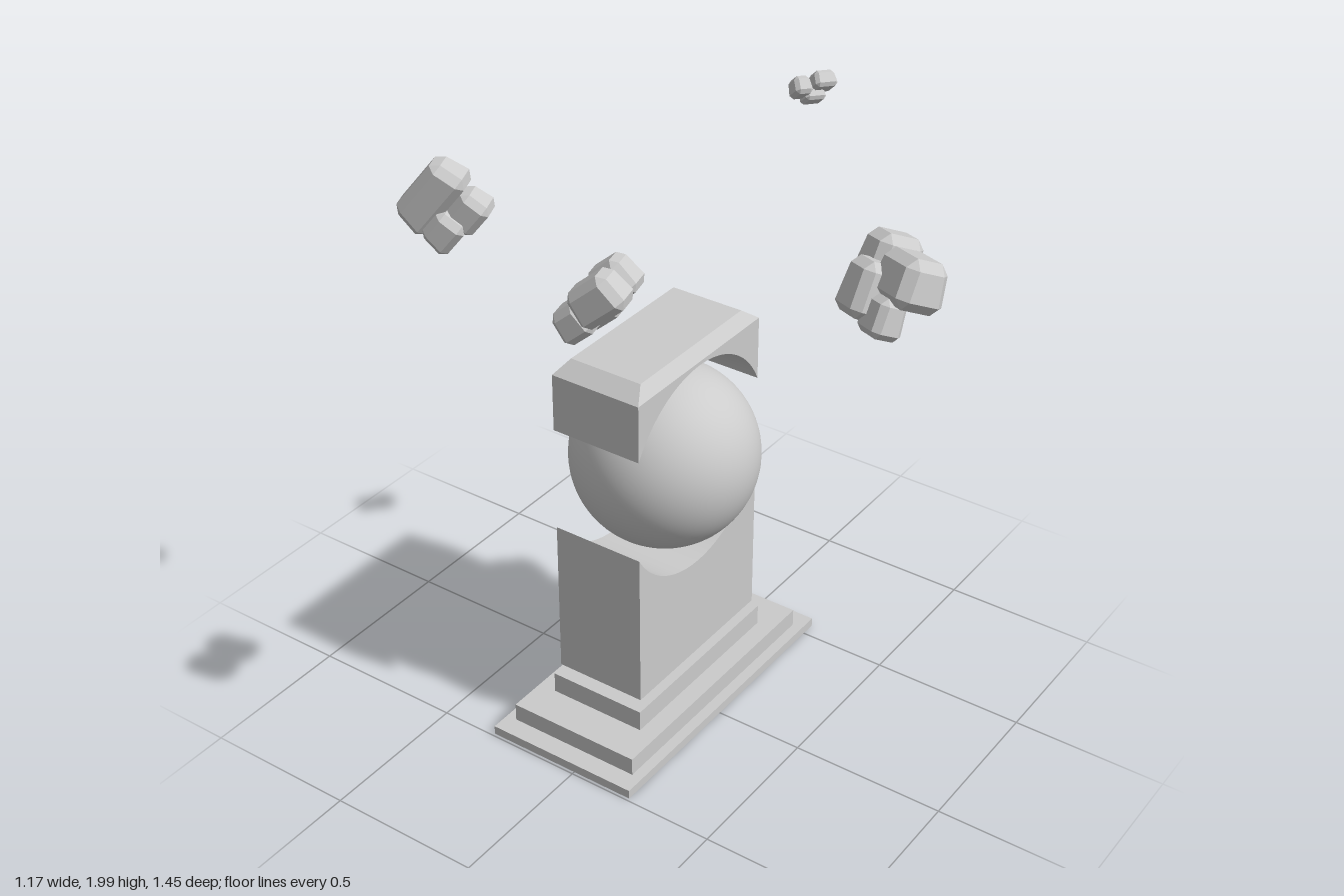
import * as THREE from 'three';
import { toCreasedNormals } from 'three/addons/utils/BufferGeometryUtils.js';
import { ConvexGeometry } from 'three/addons/geometries/ConvexGeometry.js';

const V = (x, y, z) => new THREE.Vector3(x, y, z);
const material = new THREE.MeshStandardMaterial({ color: 0xcccccc });

function add(parent, name, geometry, x = 0, y = 0, z = 0) {
  const mesh = new THREE.Mesh(geometry, material);
  mesh.name = name;
  mesh.position.set(x, y, z);
  parent.add(mesh);
  return mesh;
}

// Convex block with every edge chamfered and the top slightly narrower
function chippedBlock(w, h, d) {
  const b = Math.min(w, h, d) * 0.2;
  const points = [];
  for (const sx of [-1, 1]) for (const sy of [-1, 1]) for (const sz of [-1, 1]) {
    const t = sy > 0 ? 0.9 : 1;
    const x = w / 2 * t, y = h / 2, z = d / 2 * t;
    points.push(
      V(sx * x, sy * (y - b), sz * (z - b)),
      V(sx * (x - b), sy * y, sz * (z - b)),
      V(sx * (x - b), sy * (y - b), sz * z));
  }
  return new ConvexGeometry(points);
}

// Each rock: shared tilt [pitch, yaw, roll] and chunks [x, y, z, w, h, d]
const rocks = [
  { name: 'rightFloatingRock', tilt: [-0.7, 0.25, 0], chunks: [
    [-0.525, 1.735, 0.155, 0.11, 0.115, 0.16],
    [-0.42, 1.735, 0.13, 0.10, 0.11, 0.13],
    [-0.53, 1.65, 0.085, 0.11, 0.10, 0.11],
    [-0.43, 1.655, 0.085, 0.11, 0.11, 0.12]] },
  { name: 'backFloatingRock', tilt: [-0.9, 0.4, 0], chunks: [
    [-0.28, 1.71, -0.62, 0.12, 0.12, 0.24],
    [-0.235, 1.67, -0.52, 0.11, 0.10, 0.12],
    [-0.28, 1.615, -0.575, 0.12, 0.10, 0.12]] },
  { name: 'frontFloatingRock', tilt: [-0.15, -0.52, -0.4], chunks: [
    [0.32, 1.55, 0.615, 0.16, 0.15, 0.20],
    [0.41, 1.54, 0.495, 0.17, 0.16, 0.14],
    [0.29, 1.50, 0.495, 0.13, 0.17, 0.14],
    [0.245, 1.455, 0.575, 0.10, 0.12, 0.12],
    [0.33, 1.445, 0.50, 0.14, 0.13, 0.14]] },
  { name: 'leftFloatingRock', tilt: [-0.7, -0.5, -0.1], chunks: [
    [0.545, 1.96, 0.165, 0.07, 0.05, 0.07],
    [0.49, 1.95, 0.125, 0.055, 0.055, 0.07],
    [0.525, 1.92, 0.145, 0.065, 0.045, 0.06]] },
];

export function createModel() {
  const model = new THREE.Group();
  const CX = 0.03, CZ = -0.052;

  // Stepped base: width, depth, bottom, top
  const steps = [
    [1.04, 0.52, 0, 0.03], [0.91, 0.45, 0.03, 0.09],
    [0.66, 0.33, 0.09, 0.16], [0.56, 0.26, 0.16, 0.19]];
  steps.forEach(([w, d, y0, y1], i) =>
    add(model, 'baseStep' + (i + 1), new THREE.BoxGeometry(w, y1 - y0, d), CX, (y0 + y1) / 2, CZ));

  // Pillar halves, both cut by the same round opening
  const left = 0.34, right = -0.28, depth = 0.306;
  const ox = 0.024, oy = 0.888, r = 0.35;
  const aLeft = Math.acos((left - ox) / r), aRight = Math.acos((right - ox) / r);
  const extrude = shape => toCreasedNormals(
    new THREE.ExtrudeGeometry(shape, { depth, bevelEnabled: false, curveSegments: 48 }), 0.5);

  const lower = new THREE.Shape();
  lower.moveTo(right, 0.19);
  lower.lineTo(left, 0.19);
  lower.absarc(ox, oy, r, -aLeft, -aRight, true);
  add(model, 'lowerPillar', extrude(lower), 0, 0, CZ - depth / 2);

  const upper = new THREE.Shape();
  upper.moveTo(left, 1.25);
  upper.lineTo(right, 1.25);
  upper.absarc(ox, oy, r, aRight, aLeft, true);
  add(model, 'upperPillar', extrude(upper), 0, 0, CZ - depth / 2);

  // Bevelled cap
  const cap = [];
  for (const sx of [-1, 1]) for (const sz of [-1, 1]) {
    cap.push(V(sx * 0.31, 1.25, sz * depth / 2), V(sx * 0.257, 1.29, sz * (depth / 2 - 0.03)));
  }
  add(model, 'cap', new ConvexGeometry(cap), CX, 0, CZ);

  // Sphere hovering in the opening
  add(model, 'sphere', new THREE.SphereGeometry(0.292, 64, 40), 0.024, 0.892, -0.022);

  // Floating rocks
  for (const { name, tilt, chunks } of rocks) {
    const rock = new THREE.Group();
    rock.name = name;
    chunks.forEach(([x, y, z, w, h, d], i) => {
      const chunk = add(rock, 'chunk' + (i + 1), chippedBlock(w, h, d), x, y, z);
      chunk.rotation.set(...tilt, 'YXZ');
    });
    model.add(rock);
  }
  return model;
}
